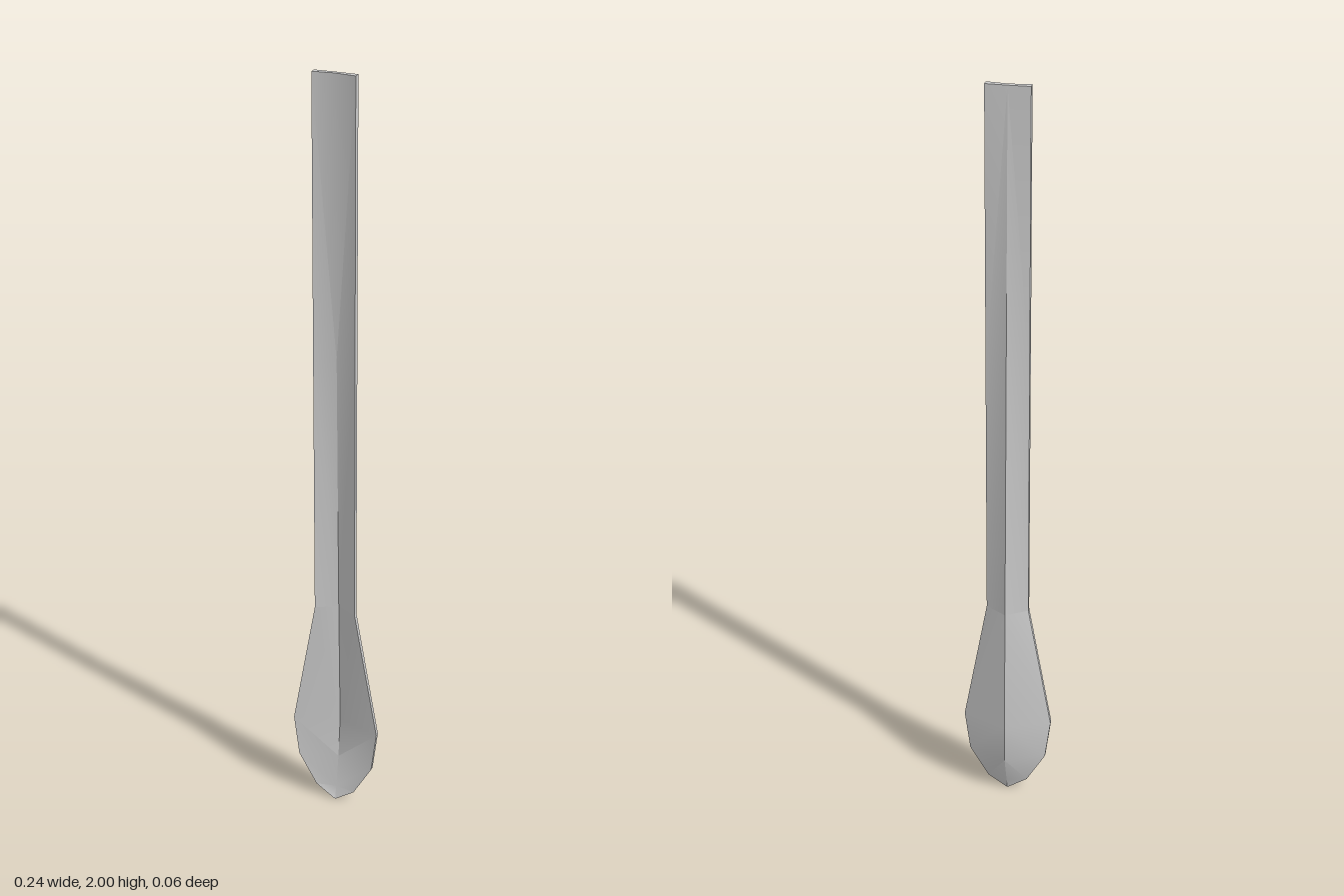
import * as THREE from 'three';
import { toCreasedNormals } from 'three/addons/utils/BufferGeometryUtils.js';

// Cross-sections from the top of the handle to the tip of the bowl:
// height, half width, front rim z, front centre z, back rim z, back ridge z
const handleSections = [
  [2.0, 0.053, 0.028, 0.022, 0.012, 0.011],
  [1.3, 0.054, 0.027, 0.010, 0.012, -0.005],
  [0.6, 0.055, 0.025, -0.004, 0.012, -0.021],
];
const bowlSections = [
  handleSections[2],
  [0.24, 0.118, 0.024, -0.014, 0.012, -0.030],
  [0.125, 0.104, 0.024, -0.002, 0.012, -0.028],
  [0.036, 0.054, 0.024, 0.014, 0.012, 0.000],
  [0.0, 0.002, 0.024, 0.023, 0.012, 0.011],
];

// Ring of six points, counter-clockwise from above
function ring([y, w, rim, centre, backRim, ridge]) {
  return [[-w, y, rim], [0, y, centre], [w, y, rim],
    [w, y, backRim], [0, y, ridge], [-w, y, backRim]];
}

function loft(sections, capTop, capBottom) {
  const rings = sections.map(ring);
  const positions = [];
  const tri = (...points) => points.forEach((p) => positions.push(...p));
  for (let i = 0; i < rings.length - 1; i++) {
    for (let j = 0; j < 6; j++) {
      const k = (j + 1) % 6;
      const a = rings[i][j], b = rings[i][k];
      const c = rings[i + 1][j], d = rings[i + 1][k];
      // mirror the diagonal so both halves match
      if (j === 0 || j === 2 || j === 4) {
        tri(a, c, d);
        tri(a, d, b);
      } else {
        tri(a, c, b);
        tri(b, c, d);
      }
    }
  }
  // end caps fan out from the ridge point
  const last = rings[rings.length - 1];
  for (let j = 0; j < 4; j++) {
    const p = (j + 5) % 6, q = (j + 6) % 6;
    if (capTop) tri(rings[0][4], rings[0][p], rings[0][q]);
    if (capBottom) tri(last[4], last[q], last[p]);
  }
  const geometry = new THREE.BufferGeometry();
  geometry.setAttribute('position', new THREE.Float32BufferAttribute(positions, 3));
  return toCreasedNormals(geometry, Math.PI / 6);
}

export function createModel() {
  const group = new THREE.Group();
  group.name = 'spoon';
  const metal = new THREE.MeshStandardMaterial({ color: 0xcccccc });
  metal.name = 'light grey';

  // Long channelled handle
  const handle = new THREE.Mesh(loft(handleSections, true, false), metal);
  handle.name = 'handle';

  // Shallow pointed bowl with a ridge along its back
  const bowl = new THREE.Mesh(loft(bowlSections, false, true), metal);
  bowl.name = 'bowl';

  group.add(handle, bowl);
  return group;
}
